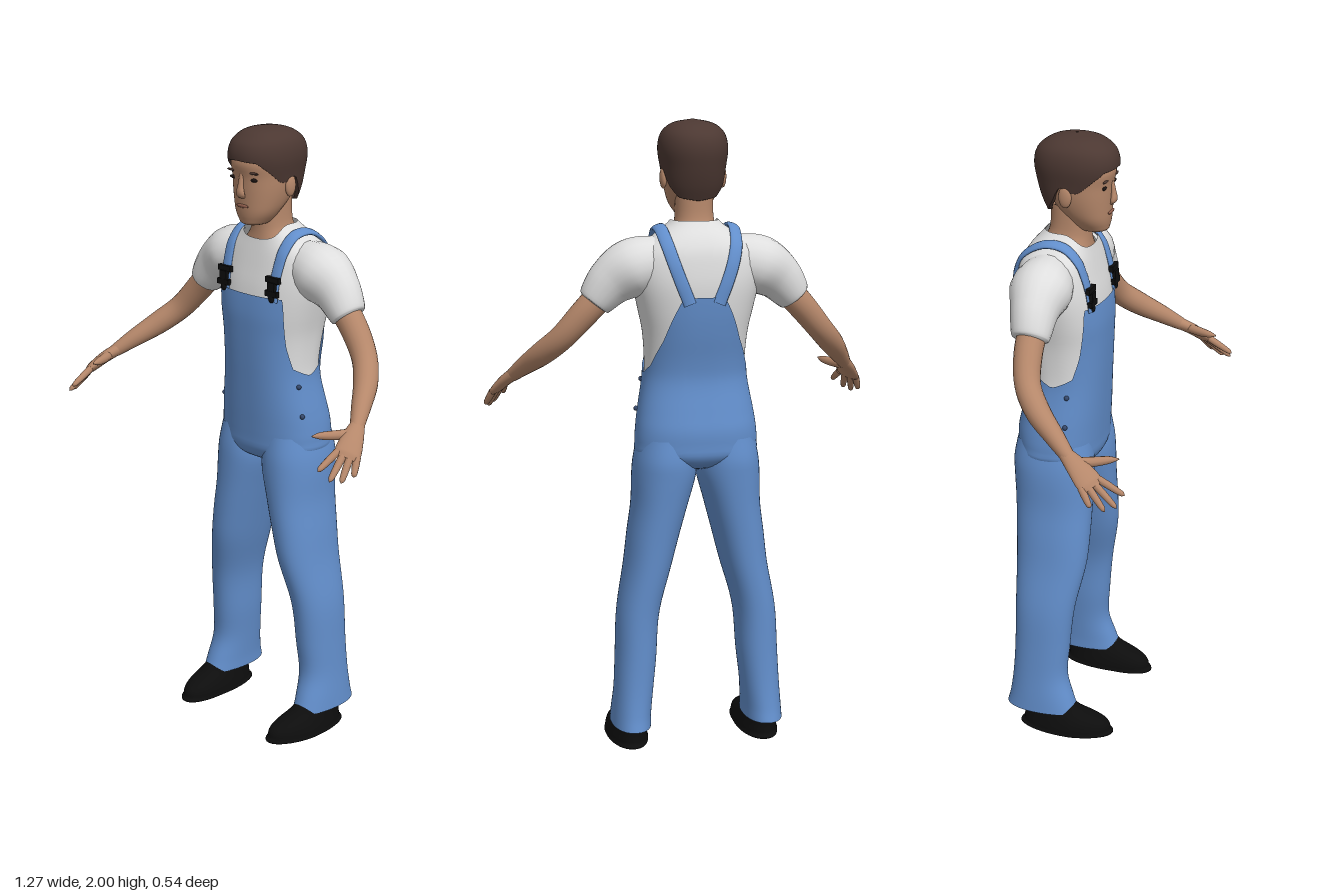
import * as THREE from 'three';

const mat = (name, color, side = THREE.DoubleSide) => {
  const m = new THREE.MeshStandardMaterial({ color, side });
  m.name = name;
  return m;
};

// Smooth interpolation of table rows keyed by their first column
function sample(rows, y) {
  const last = rows.length - 1;
  let i = 0;
  while (i < last - 1 && y > rows[i + 1][0]) i++;
  const a = rows[i], b = rows[i + 1], p = rows[Math.max(i - 1, 0)], q = rows[Math.min(i + 2, last)];
  const h = b[0] - a[0], t = Math.min(1, Math.max(0, (y - a[0]) / h)), t2 = t * t, t3 = t2 * t;
  return a.map((_, k) => {
    const m0 = (b[k] - p[k]) / (b[0] - p[0]) * h, m1 = (q[k] - a[k]) / (q[0] - a[0]) * h;
    return (2 * t3 - 3 * t2 + 1) * a[k] + (t3 - 2 * t2 + t) * m0 + (3 * t2 - 2 * t3) * b[k] + (t3 - t2) * m1;
  });
}

// Straight-line lookup of a height by angle from the front
function edge(table, angle) {
  const a = Math.abs(angle);
  let i = 0;
  while (i < table.length - 2 && a > table[i + 1][0]) i++;
  const [p, q] = [table[i], table[i + 1]];
  return p[1] + (q[1] - p[1]) * Math.min(1, (a - p[0]) / (q[0] - p[0]));
}

// Closed rings stacked into a smooth skin
function skin(f, nu, nv) {
  const pos = [], idx = [];
  for (let j = 0; j <= nv; j++) for (let i = 0; i < nu; i++) pos.push(...f(i / nu, j / nv));
  for (let j = 0; j < nv; j++) for (let i = 0; i < nu; i++) {
    const a = j * nu + i, b = j * nu + (i + 1) % nu;
    idx.push(a, b, b + nu, a, b + nu, a + nu);
  }
  const g = new THREE.BufferGeometry();
  g.setAttribute('position', new THREE.Float32BufferAttribute(pos, 3));
  g.setIndex(idx);
  g.computeVertexNormals();
  return g;
}

// Horizontal sections: rows are [y, centre x, half width, front z, back z]
function shell(rows, { n = 2.2, lo, hi, off = 0, lip = 0, nu = 48, nv = 40 } = {}) {
  const pw = (s) => Math.sign(s) * Math.abs(s) ** (2 / n);
  const at = (e, a, d) => typeof e === 'function' ? e(a) : e ?? d;
  return skin((u, v) => {
    const a = (u * 2 - 1) * Math.PI;
    const y0 = at(lo, a, rows[0][0]), y1 = at(hi, a, rows[rows.length - 1][0]);
    const y = y0 + (y1 - y0) * (1 - Math.cos(Math.PI * v)) / 2;
    const [, x, hw, zf, zb] = sample(rows, y), o = v === 0 ? off - lip : off;
    return [x + (hw + o) * pw(Math.sin(a)), y, (zf + zb) / 2 + ((zf - zb) / 2 + o) * pw(Math.cos(a))];
  }, nu, nv);
}

// Depth of a section surface at a given x and y
function surfZ(rows, x, y, sign = 1, n = 2.2) {
  const [, cx, hw, zf, zb] = sample(rows, y);
  const k = Math.max(0, 1 - Math.abs((x - cx) / hw) ** n) ** (1 / n);
  return (zf + zb) / 2 + sign * k * (zf - zb) / 2;
}

// Oval tube: points are [x, y, z, radius along ref, other radius]
function limb(points, ref = [0, 0, 1], nu = 20, nv = 28) {
  const curve = new THREE.CatmullRomCurve3(points.map((p) => new THREE.Vector3(...p)));
  const radii = points.map((p, i) => [i, p[3], p[4] ?? p[3]]);
  const r = new THREE.Vector3(...ref);
  return skin((u, v) => {
    const c = curve.getPoint(v), t = curve.getTangent(v);
    const a = r.clone().addScaledVector(t, -r.dot(t)).normalize();
    const b = t.clone().cross(a), [, ra, rb] = sample(radii, v * (points.length - 1));
    const ang = u * Math.PI * 2;
    return c.addScaledVector(a, ra * Math.cos(ang)).addScaledVector(b, rb * Math.sin(ang)).toArray();
  }, nu, nv);
}

function mirrored(geo) {
  const g = geo.clone().scale(-1, 1, 1), ix = g.index.array;
  for (let i = 0; i < ix.length; i += 3) [ix[i], ix[i + 1]] = [ix[i + 1], ix[i]];
  g.computeVertexNormals();
  return g;
}

const blob = (x, y, z, sx, sy, sz) => new THREE.SphereGeometry(1, 16, 12).scale(sx, sy, sz).translate(x, y, z);
const box = (w, h, d, x, y, z) => new THREE.BoxGeometry(w, h, d).translate(x, y, z);

const TORSO = [
  [0.905, 0, 0.01, -0.1, -0.14], [0.93, 0, 0.1, -0.03, -0.22], [0.965, 0, 0.18, -0.006, -0.255],
  [1.0, 0, 0.187, -0.003, -0.258], [1.05, 0, 0.184, 0, -0.258], [1.1, 0, 0.177, 0.003, -0.247],
  [1.2, 0, 0.16, 0.008, -0.226], [1.26, 0, 0.158, 0.011, -0.23], [1.35, 0, 0.165, 0.014, -0.247],
  [1.42, 0, 0.18, 0.014, -0.257], [1.5, 0, 0.197, 0.004, -0.262], [1.56, 0, 0.2, -0.01, -0.256],
  [1.61, 0, 0.18, -0.022, -0.245], [1.65, 0, 0.13, -0.032, -0.222], [1.68, 0, 0.088, -0.038, -0.195],
  [1.7, 0, 0.068, -0.045, -0.178]];
const LEG = [
  [0.08, 0.217, 0.063, -0.015, -0.26], [0.12, 0.215, 0.062, -0.03, -0.25], [0.2, 0.208, 0.062, -0.055, -0.24],
  [0.3, 0.2, 0.065, -0.05, -0.235], [0.45, 0.19, 0.067, -0.035, -0.234], [0.6, 0.157, 0.074, -0.006, -0.24],
  [0.7, 0.138, 0.081, 0, -0.245], [0.8, 0.118, 0.088, 0.001, -0.252], [0.9, 0.103, 0.1, 0.002, -0.26],
  [0.95, 0.1, 0.098, 0, -0.262], [1.02, 0.095, 0.088, -0.01, -0.25]];
const SHOE = [
  [0, 0.217, 0.002, -0.04, -0.06], [0.004, 0.217, 0.058, 0.088, -0.198], [0.02, 0.217, 0.065, 0.096, -0.202],
  [0.045, 0.217, 0.061, 0.088, -0.2], [0.062, 0.217, 0.056, 0.06, -0.2], [0.085, 0.217, 0.05, 0, -0.2],
  [0.13, 0.217, 0.045, -0.05, -0.195]];
const HEAD = [
  [1.695, 0, 0.005, -0.02, -0.05], [1.7, 0, 0.034, 0.01, -0.07], [1.715, 0, 0.051, 0.019, -0.09],
  [1.74, 0, 0.068, 0.024, -0.11], [1.77, 0, 0.08, 0.026, -0.14], [1.81, 0, 0.09, 0.028, -0.17],
  [1.85, 0, 0.095, 0.03, -0.19], [1.9, 0, 0.097, 0.036, -0.2], [1.95, 0, 0.08, 0, -0.18],
  [1.98, 0, 0.03, -0.05, -0.12]];
const NECK = [
  [1.6, 0, 0.14, -0.035, -0.22], [1.64, 0, 0.095, -0.036, -0.2], [1.67, 0, 0.068, -0.04, -0.183],
  [1.7, 0, 0.06, -0.04, -0.17], [1.78, 0, 0.058, -0.04, -0.165]];
const HAIR = [
  [1.75, 0, 0.07, -0.05, -0.17], [1.8, 0, 0.09, 0, -0.192], [1.86, 0, 0.101, 0.037, -0.209],
  [1.91, 0, 0.107, 0.048, -0.216], [1.95, 0, 0.1, 0.038, -0.206], [1.975, 0, 0.082, 0.012, -0.18],
  [1.991, 0, 0.052, -0.022, -0.143], [2, 0, 0.003, -0.08, -0.088]];
const BIB_EDGE = [[0, 1.48], [0.7, 1.48], [0.78, 1.43], [0.95, 1.32], [1.15, 1.25], [1.6, 1.22], [2, 1.25],
  [2.4, 1.33], [2.75, 1.43], [2.88, 1.47], [3.15, 1.47]];
const HAIR_EDGE = [[0, 1.905], [0.6, 1.9], [0.9, 1.875], [1.25, 1.835], [1.5, 1.835], [1.7, 1.855], [1.95, 1.8],
  [2.3, 1.765], [3.15, 1.755]];

export function createModel() {
  const model = new THREE.Group();
  const skinMat = mat('skin', 0xb5876a), hairMat = mat('hair', 0x4c3832), shirtMat = mat('white cotton', 0xdedede);
  const denim = mat('blue denim', 0x628ecb), black = mat('black leather', 0x0d0d0d);
  const lipMat = mat('lips', 0x915f4d), dark = mat('dark eyes', 0x1c1412), rivet = mat('rivets', 0x35486b);
  const add = (name, geo, m) => {
    const mesh = new THREE.Mesh(geo, m);
    mesh.name = name;
    model.add(mesh);
  };
  const pair = (name, geo, m) => {
    add(name + 'Left', geo, m);
    add(name + 'Right', mirrored(geo), m);
  };

  // Head and face
  add('neck', shell(NECK, { nv: 16 }), skinMat);
  add('head', shell(HEAD), skinMat);
  add('hair', shell(HAIR, { lo: (a) => edge(HAIR_EDGE, a), lip: 0.012, nu: 72 }), hairMat);
  add('nose', limb([[0, 1.86, 0.027, 0.006, 0.008], [0, 1.825, 0.033, 0.008, 0.01], [0, 1.8, 0.034, 0.01, 0.017],
    [0, 1.788, 0.026, 0.005, 0.012]], [0, 0, 1], 14, 12), skinMat);
  add('mouth', blob(0, 1.761, 0.025, 0.026, 0.006, 0.005), lipMat);
  pair('ear', blob(0.094, 1.822, -0.09, 0.011, 0.034, 0.021), skinMat);
  pair('eye', blob(0.043, 1.846, surfZ(HEAD, 0.043, 1.846) - 0.001, 0.017, 0.006, 0.005), dark);
  pair('eyebrow', blob(0.044, 1.868, surfZ(HEAD, 0.044, 1.868), 0.025, 0.004, 0.005), hairMat);

  // Shirt
  add('shirt', shell(TORSO, { n: 2.4, lo: 1.1, nu: 72,
    hi: (a) => 1.695 - 0.045 * Math.max(0, Math.cos(a)) ** 2 }), shirtMat);
  pair('sleeve', limb([[0.12, 1.565, -0.135, 0.085, 0.085], [0.2, 1.55, -0.132, 0.096, 0.092],
    [0.265, 1.51, -0.127, 0.074, 0.077], [0.318, 1.446, -0.12, 0.058, 0.054],
    [0.322, 1.441, -0.12, 0.04, 0.038]]), shirtMat);

  // Arms and hands
  pair('arm', limb([[0.28, 1.485, -0.12, 0.046], [0.35, 1.41, -0.115, 0.044], [0.415, 1.335, -0.092, 0.04],
    [0.468, 1.28, -0.04, 0.038], [0.515, 1.23, 0.03, 0.03], [0.552, 1.188, 0.088, 0.021]], [0.6, 0.8, 0]), skinMat);
  const across = [-0.73, 0.28, 0.62];
  pair('palm', limb([[0.545, 1.196, 0.075, 0.022, 0.02], [0.568, 1.168, 0.122, 0.034, 0.019],
    [0.588, 1.136, 0.165, 0.04, 0.015], [0.594, 1.126, 0.18, 0.026, 0.007]], across), skinMat);
  const tips = [[0.563, 1.1, 0.265], [0.598, 1.073, 0.252], [0.617, 1.066, 0.222], [0.63, 1.078, 0.182]];
  tips.forEach((tip, i) => {
    const root = [0.588, 1.134, 0.166].map((c, k) => c + across[k] * (0.03 - i * 0.02));
    const mix = (t) => root.map((c, k) => c + (tip[k] - c) * t);
    pair('finger' + (i + 1), limb([[...root, 0.012], [...mix(0.5), 0.011], [...mix(0.9), 0.008], [...tip, 0.001]],
      across, 10, 10), skinMat);
  });
  pair('thumb', limb([[0.558, 1.178, 0.105, 0.016], [0.53, 1.178, 0.16, 0.015], [0.51, 1.181, 0.2, 0.011],
    [0.5, 1.183, 0.226, 0.002]], [0, 1, 0], 10, 12), skinMat);

  // Overalls: trunk with bib and back panel, legs
  add('overallsBody', shell(TORSO, { n: 2.4, off: 0.006, nu: 120, nv: 48, hi: (a) => edge(BIB_EDGE, a) }), denim);
  pair('trouserLeg', shell(LEG, { nv: 48 }), denim);

  // Shoulder straps that follow the shirt
  const on = (x, y, s) => [x, y, surfZ(TORSO, x, y, s, 2.4) + s * 0.006, 0.02, 0.007];
  pair('strap', limb([on(0.107, 1.47, 1), on(0.108, 1.53, 1), on(0.111, 1.58, 1), on(0.114, 1.625, 1),
    [0.116, 1.667, -0.085, 0.02, 0.008], [0.116, 1.672, -0.15, 0.02, 0.008], on(0.108, 1.63, -1),
    on(0.094, 1.58, -1), on(0.073, 1.52, -1), on(0.045, 1.45, -1)], [1, -0.35, 0], 12, 60), denim);

  // Strap buckles
  const bz = surfZ(TORSO, 0.107, 1.51, 1, 2.4) + 0.012;
  pair('buckleTop', box(0.056, 0.018, 0.014, 0.107, 1.54, bz - 0.004), black);
  pair('buckleClasp', box(0.03, 0.03, 0.016, 0.107, 1.518, bz), black);
  pair('buckleBase', box(0.05, 0.018, 0.014, 0.107, 1.497, bz + 0.002), black);
  pair('bibButton', blob(0.107, 1.48, bz + 0.004, 0.012, 0.012, 0.006), black);

  // Rivets at the hip openings
  for (const y of [1.19, 1.095]) {
    const x = sample(TORSO, y)[2] + 0.001;
    pair('rivet', blob(x, y, -0.065, 0.008, 0.008, 0.008), rivet);
  }

  // Shoes, toes narrowed and turned slightly inward
  const shoe = shell(SHOE, { n: 2.1, nv: 30 });
  const p = shoe.attributes.position;
  for (let i = 0; i < p.count; i++) {
    const toe = Math.max(0, p.getZ(i) + 0.02);
    p.setX(i, p.getX(i) - toe * 0.1);
  }
  shoe.computeVertexNormals();
  pair('shoe', shoe, black);

  return model;
}
